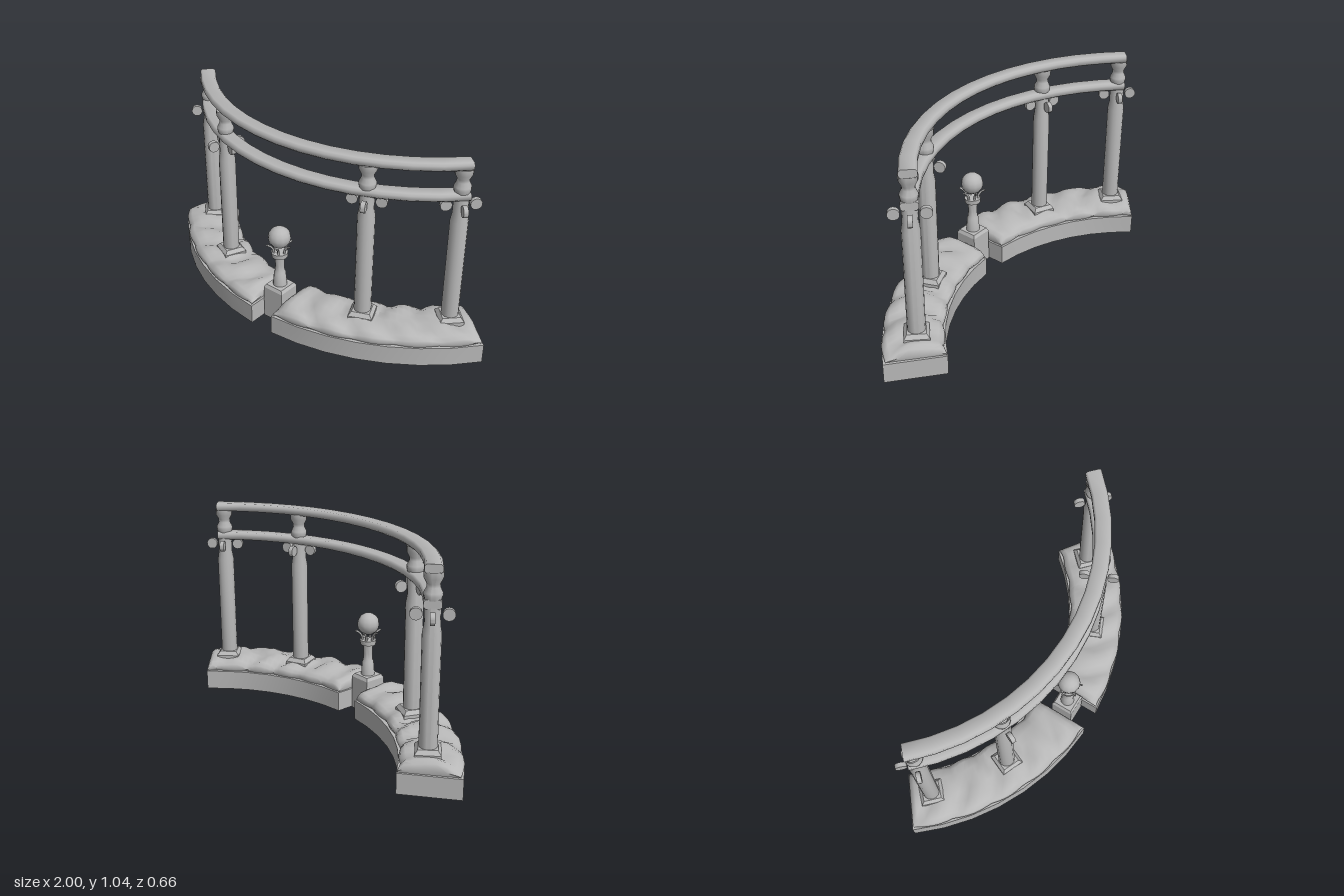
import * as THREE from 'three';
import { toCreasedNormals } from 'three/addons/utils/BufferGeometryUtils.js';

const CZ = -0.95;            // centre of the plan arc
const R_IN = 0.985, R_OUT = 1.28, R_MID = 1.115;
const END = 0.897, GAP = 0.065;
const lerp = THREE.MathUtils.lerp;

// Skin between equal-length rings of points, optionally capping both ends
function loft(rings, { capped = true, crease = 0.7 } = {}) {
  const n = rings[0].length, pts = rings.flat(), index = [];
  for (let i = 0; i < rings.length - 1; i++) {
    for (let j = 0; j < n; j++) {
      const k = (j + 1) % n, a = i * n + j, b = i * n + k;
      index.push(a, b, b + n, a, b + n, a + n);
    }
  }
  if (capped) {
    const last = (rings.length - 1) * n;
    for (let j = 1; j < n - 1; j++) {
      index.push(0, j + 1, j, last, last + j, last + j + 1);
    }
  }
  // Turn the faces outward according to the enclosed volume
  const mid = pts.reduce((s, p) => s.add(p), new THREE.Vector3()).divideScalar(pts.length);
  const q = pts.map((p) => p.clone().sub(mid));
  let volume = 0;
  for (let i = 0; i < index.length; i += 3) {
    volume += q[index[i]].dot(q[index[i + 1]].clone().cross(q[index[i + 2]]));
  }
  if (volume < 0) index.reverse();
  const geo = new THREE.BufferGeometry().setFromPoints(pts);
  geo.setIndex(index);
  return toCreasedNormals(geo, crease);
}

// Point on the plan: s runs from the central gap to the far end
function planPoint(side, s, r, y) {
  const t = lerp(Math.asin(GAP / r), END, s);
  return new THREE.Vector3(side * r * Math.sin(t), y, CZ + r * Math.cos(t));
}

// Outline of one curved base, pulled in by inset
function baseOutline(side, y, inset) {
  const ring = [], n = 7;
  for (let i = 0; i <= n; i++) ring.push(planPoint(side, lerp(inset, 1 - inset, i / n), R_OUT - inset, y));
  for (let i = n; i >= 0; i--) ring.push(planPoint(side, lerp(inset, 1 - inset, i / n), R_IN + inset, y));
  return ring;
}

// Lumpy bed sitting on a base
function bedGeometry(side) {
  const section = [[0.04, 0], [0.01, 0.3], [0.03, 0.6], [0.1, 0.85], [0.25, 1], [0.42, 1.08], [0.58, 1.08],
    [0.75, 1], [0.9, 0.85], [0.97, 0.6], [0.99, 0.3], [0.96, 0]];
  const steps = [[0.012, 0.02], [0.004, 0.35], [0.015, 0.7], [0.04, 0.92]];
  for (let i = 2; i <= 28; i++) steps.push([i / 30, 1]);
  steps.push([0.965, 0.92], [0.985, 0.7], [0.996, 0.35], [0.988, 0.02]);
  const rings = steps.map(([s, k]) => section.map(([u, f]) => {
    const lump = Math.abs(Math.sin(Math.PI * (s * 5.2 + 0.35 * Math.sin(u * 4) + 0.1)));
    const h = 0.043 + 0.024 * lump + 0.005 * Math.sin(s * 41 + u * 9);
    const r = lerp(R_IN, R_OUT, u) + (u - 0.5) * 0.025 * (lump - 0.8);
    return planPoint(side, s, r, 0.112 + h * f * k);
  }));
  return loft(rings, { crease: 1.0 });
}

// Curved rail with softened edges
function railGeometry(y) {
  const w = 0.04, h = 0.02, n = 14;
  const section = [[-w, -h * 0.5], [-w * 0.75, -h], [w * 0.75, -h], [w, -h * 0.5],
    [w, h * 0.5], [w * 0.75, h], [-w * 0.75, h], [-w, h * 0.5]];
  const rings = [];
  for (let i = 0; i <= n; i++) {
    const t = lerp(-0.82, 0.82, i / n);
    rings.push(section.map(([dr, dy]) => new THREE.Vector3(
      (R_MID + dr) * Math.sin(t), y + dy, CZ + (R_MID + dr) * Math.cos(t))));
  }
  return loft(rings, { crease: 0.9 });
}

function lathe(profile, sides) {
  const geo = new THREE.LatheGeometry(profile.map(([r, y]) => new THREE.Vector2(r, y)), sides);
  return toCreasedNormals(geo, 0.7);
}

export function createModel() {
  const model = new THREE.Group();
  model.name = 'curvedColonnade';
  const stone = new THREE.MeshStandardMaterial({ color: 0xb8b8b8, side: THREE.DoubleSide });
  stone.name = 'grey stone';

  const add = (parent, name, geo, x = 0, y = 0, z = 0) => {
    const mesh = new THREE.Mesh(geo, stone);
    mesh.name = name;
    mesh.position.set(x, y, z);
    parent.add(mesh);
    return mesh;
  };

  // Square foot with a sloping top
  const addPlinth = (parent, width, y0, shoulder, top, topWidth) => {
    add(parent, 'plinth', new THREE.BoxGeometry(width, shoulder - y0, width), 0, (y0 + shoulder) / 2, 0);
    const slope = new THREE.CylinderGeometry(topWidth / Math.SQRT2, width / Math.SQRT2, top - shoulder, 4);
    slope.rotateY(Math.PI / 4);
    add(parent, 'plinthSlope', toCreasedNormals(slope, 0.3), 0, (shoulder + top) / 2, 0);
  };

  // Hollow bases and the lumpy beds on them
  for (const side of [1, -1]) {
    const label = side > 0 ? 'left' : 'right';
    const walls = [baseOutline(side, 0.01, 0), baseOutline(side, 0.113, 0), baseOutline(side, 0.113, 0.025)];
    add(model, label + 'Base', loft(walls, { capped: false }));
    add(model, label + 'Bed', bedGeometry(side));
  }

  // Columns with scroll discs, and short balusters between the rails
  const shaft = lathe([[0.043, 0.19], [0.043, 0.73], [0.036, 0.77], [0.036, 0.85]], 14);
  const baluster = lathe([[0.037, 0.88], [0.042, 0.9], [0.041, 0.912], [0.03, 0.935], [0.03, 0.95],
    [0.043, 0.975], [0.044, 1.005]], 14);
  const scroll = toCreasedNormals(new THREE.CylinderGeometry(0.028, 0.028, 0.022, 14).rotateX(Math.PI / 2), 0.7);
  for (const angle of [-0.79, -0.407, 0.407, 0.79]) {
    const column = new THREE.Group();
    column.name = 'column';
    column.position.set(R_MID * Math.sin(angle), 0, CZ + R_MID * Math.cos(angle));
    column.rotation.y = angle;
    addPlinth(column, 0.12, 0, 0.18, 0.2, 0.09);
    add(column, 'shaft', shaft);
    add(column, 'baluster', baluster);
    for (let i = 0; i < 4; i++) {
      const a = i * Math.PI / 2;
      add(column, 'scroll', scroll, 0.07 * Math.cos(a), 0.815, -0.07 * Math.sin(a)).rotation.y = a;
    }
    model.add(column);
  }

  // Upper and lower rails
  add(model, 'lowerRail', railGeometry(0.865));
  add(model, 'upperRail', railGeometry(1.02));

  // Central lamp post with a globe held by curved prongs
  const lamp = new THREE.Group();
  lamp.name = 'lampPost';
  lamp.position.z = 0.18;
  addPlinth(lamp, 0.118, 0.01, 0.188, 0.205, 0.1);
  add(lamp, 'post', lathe([[0.037, 0.2], [0.031, 0.275], [0.026, 0.285], [0.023, 0.32], [0.026, 0.37],
    [0.041, 0.373], [0.043, 0.398], [0.001, 0.4]], 12));
  const prongPath = new THREE.CatmullRomCurve3([[0.03, 0.395], [0.034, 0.42], [0.046, 0.437], [0.067, 0.45]]
    .map(([x, y]) => new THREE.Vector3(x, y, 0)));
  const prong = new THREE.TubeGeometry(prongPath, 6, 0.006, 5);
  for (let i = 0; i < 6; i++) add(lamp, 'prong', prong).rotation.y = i * Math.PI / 3;
  add(lamp, 'globe', new THREE.SphereGeometry(0.058, 12, 8), 0, 0.484, 0);
  model.add(lamp);

  return model;
}
